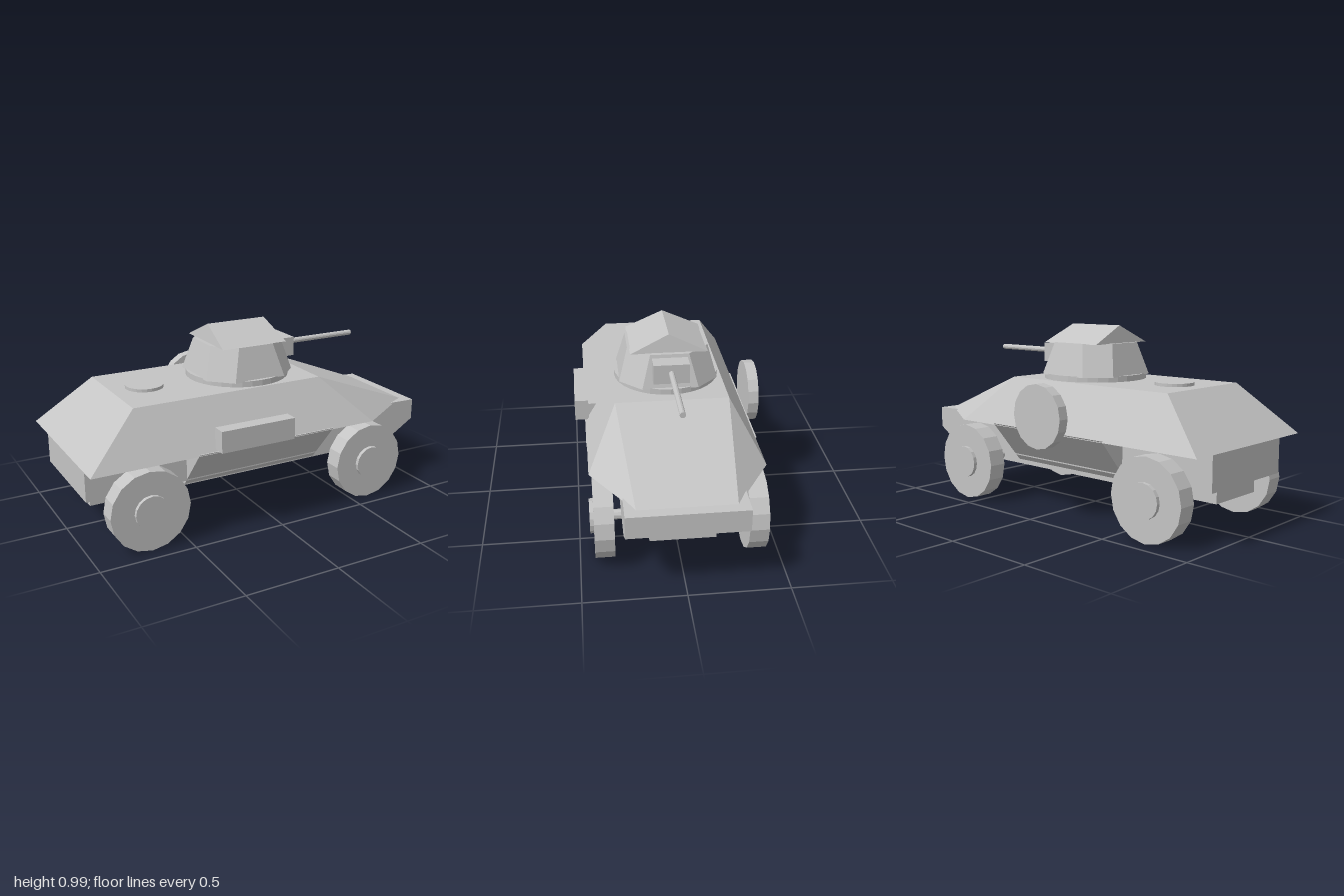
import * as THREE from 'three';
import { ConvexGeometry } from 'three/addons/geometries/ConvexGeometry.js';

const armour = new THREE.MeshStandardMaterial({ color: 0xc4c4c4, flatShading: true });
armour.name = 'armourGrey';

export function createModel() {
  const model = new THREE.Group();
  model.name = 'armouredCar';

  const add = (name, geometry, x = 0, y = 0, z = 0) => {
    const mesh = new THREE.Mesh(geometry, armour);
    mesh.name = name;
    mesh.position.set(x, y, z);
    model.add(mesh);
    return mesh;
  };
  // Box given by its extents
  const box = (name, x0, x1, y0, y1, z0, z1) =>
    add(name, new THREE.BoxGeometry(x1 - x0, y1 - y0, z1 - z0),
      (x0 + x1) / 2, (y0 + y1) / 2, (z0 + z1) / 2);
  // Faceted solid from corner points [x, y, z], mirrored across z
  const solid = (name, points) => add(name, new ConvexGeometry(
    points.flatMap(([x, y, z]) => z === 0
      ? [new THREE.Vector3(x, y, 0)]
      : [new THREE.Vector3(x, y, z), new THREE.Vector3(x, y, -z)])));
  // Disc or rod lying along z
  const disc = (name, r, width, sides, x, y, z) =>
    add(name, new THREE.CylinderGeometry(r, r, width, sides).rotateX(Math.PI / 2), x, y, z);

  // Hull
  solid('upperHull', [
    [-1, 0.45, 0.44], [0.6, 0.45, 0.44], [0.95, 0.465, 0.235],
    [-0.72, 0.7, 0.29], [0.34, 0.7, 0.29],
  ]);
  solid('lowerHull', [
    [-0.98, 0.265, 0.29], [-0.98, 0.452, 0.29], [0.86, 0.265, 0.29],
    [1, 0.35, 0.29], [1, 0.465, 0.29], [0.86, 0.468, 0.29],
  ]);
  solid('sideSponsons', [-0.445, 0.34].flatMap(x => [
    [x, 0.458, 0.443], [x, 0.235, 0.26],
  ]));
  box('chassisBeam', -0.92, 0.8, 0.18, 0.265, -0.163, 0.163);
  box('stowageBox', -0.35, 0.065, 0.467, 0.58, 0.422, 0.495);
  box('stowageMount', -0.33, 0.045, 0.47, 0.55, 0.36, 0.43);
  disc('spareWheel', 0.167, 0.056, 16, -0.05, 0.541, -0.468);
  add('rearHatch', new THREE.CylinderGeometry(0.1, 0.1, 0.02, 24), -0.54, 0.706, 0);

  // Running gear
  for (const x of [-0.7, 0.6]) {
    disc('axle', 0.026, 0.72, 10, x, 0.21, 0);
    for (const s of [1, -1]) {
      disc('wheel', 0.21, 0.097, 16, x, 0.21, s * 0.377);
      disc('wheelHub', 0.088, 0.03, 16, x, 0.21, s * 0.43);
    }
  }

  // Turret
  add('turretRing', new THREE.CylinderGeometry(0.277, 0.277, 0.035, 32), 0, 0.7125, 0);
  const octagon = (y, r, flat) => [[r, y, flat], [flat, y, r], [-flat, y, r], [-r, y, flat]];
  solid('turret', [...octagon(0.725, 0.257, 0.145), ...octagon(0.895, 0.21, 0.1)]);
  solid('turretRoof', [
    [-0.187, 0.893, 0.2], [0.187, 0.893, 0.2], [-0.172, 0.987, 0], [0.167, 0.987, 0],
  ]);
  box('gunMantlet', 0.18, 0.305, 0.776, 0.878, -0.092, 0.092);
  add('gunBarrel', new THREE.CylinderGeometry(0.015, 0.015, 0.465, 12).rotateZ(Math.PI / 2),
    0.5125, 0.831, 0);

  return model;
}
